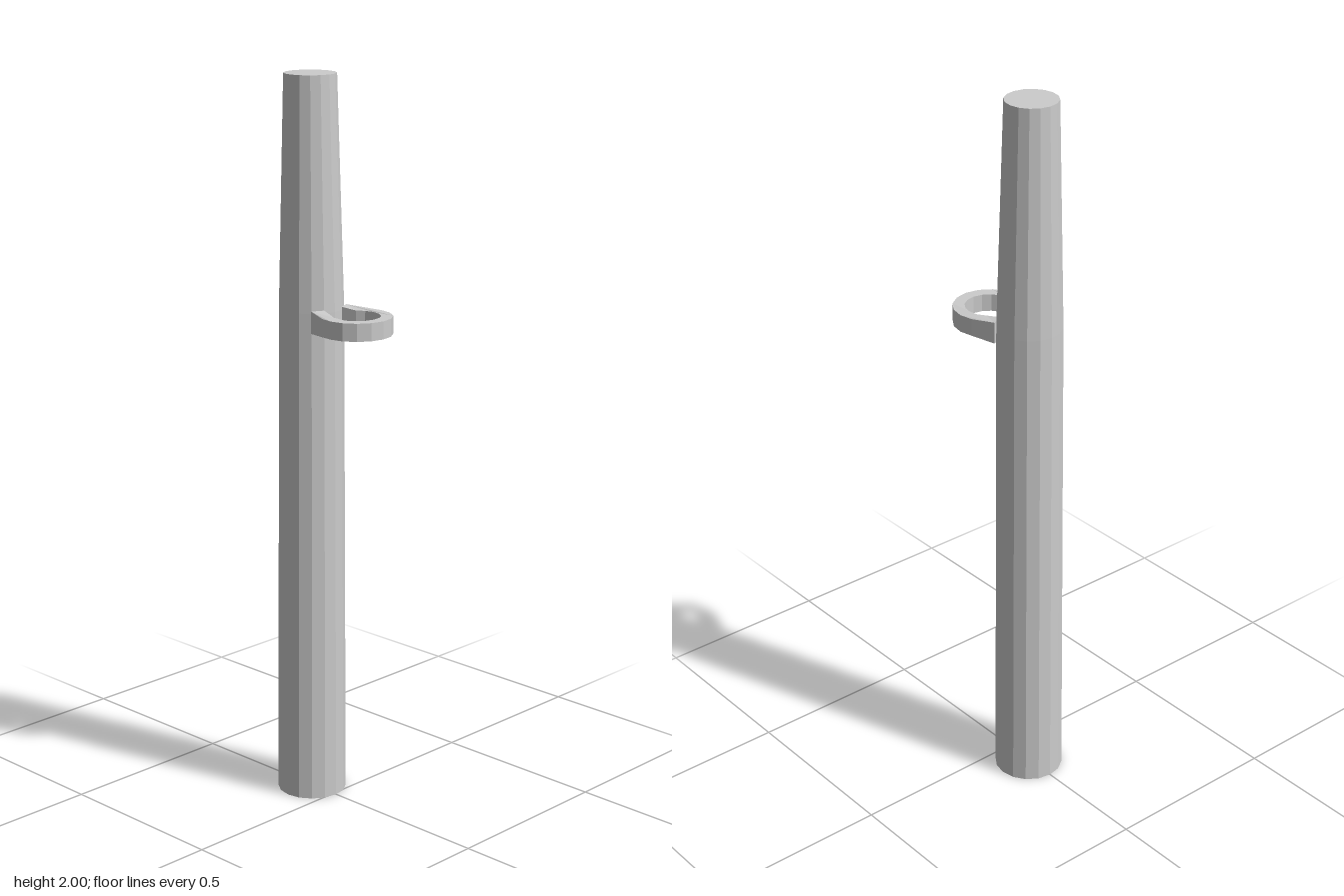
import * as THREE from 'three';

export function createModel() {
  const model = new THREE.Group();
  const material = new THREE.MeshStandardMaterial({ color: 0xcccccc, flatShading: true });

  // Tapered sixteen-sided shaft in two sections; its axis leans slightly
  const profile = [[0, 0], [0.095, 0], [0.087, 1.38], [0.07, 2], [0, 2]];
  const shaftGeo = new THREE.LatheGeometry(profile.map(([r, y]) => new THREE.Vector2(r, y)), 16);
  const sp = shaftGeo.attributes.position;
  for (let i = 0; i < sp.count; i++) {
    const y = sp.getY(i);
    sp.setX(i, sp.getX(i) - (y > 1 && y < 1.9 ? 0.082 : 0.085));
  }
  shaftGeo.computeVertexNormals();
  const shaft = new THREE.Mesh(shaftGeo, material);
  shaft.name = 'shaft';
  model.add(shaft);

  // Open loop: a round eye with two legs that run into the shaft
  const cx = 0.083, step = Math.PI / 8;
  const arc = (r, n) => Array.from({ length: 2 * n + 1 }, (_, i) => {
    const a = (i - n) * step;
    return [cx + r * Math.cos(a), r * Math.sin(a)];
  });
  const outer = [[-0.018, -0.066], ...arc(0.097, 5), [-0.018, 0.066]];
  const inner = [[-0.002, 0.033], ...arc(0.065, 6).reverse(), [-0.002, -0.033]];
  const outline = new THREE.Shape([...outer, ...inner].map(([x, y]) => new THREE.Vector2(x, y)));
  const loopGeo = new THREE.ExtrudeGeometry(outline, { depth: 0.048, bevelEnabled: false });
  loopGeo.translate(0, 0, -0.024).rotateX(-Math.PI / 2);
  // The leg ends grow a little taller where they meet the shaft
  const lp = loopGeo.attributes.position;
  for (let i = 0; i < lp.count; i++) {
    if (lp.getX(i) < 0.01) lp.setY(i, lp.getY(i) * 1.25);
  }
  loopGeo.computeVertexNormals();
  const loop = new THREE.Mesh(loopGeo, material);
  loop.name = 'sideLoop';
  loop.position.y = 1.358;
  model.add(loop);

  return model;
}
